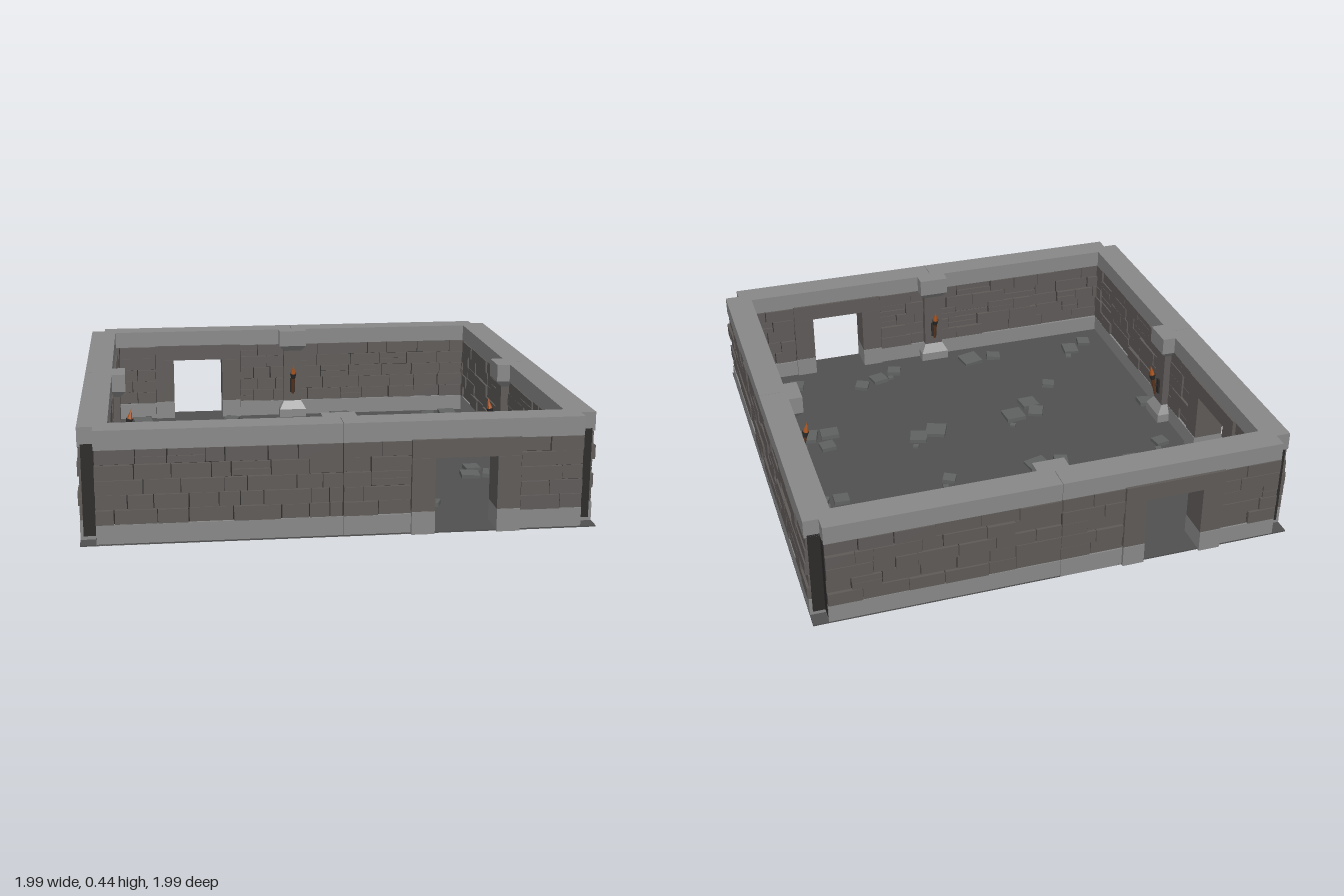
import * as THREE from 'three';
import { mergeGeometries } from 'three/addons/utils/BufferGeometryUtils.js';

const OUT = 0.985, IN = 0.872, END = 0.925;     // wall faces and wall end (corners stay notched)
const BASE = 0.08, TOP = 0.368, HEIGHT = 0.443; // plinth top, masonry top, coping top

const paint = (color) => new THREE.MeshStandardMaterial({ color, flatShading: true });
const trimMat = paint(0x888888), stoneMat = paint(0x5e5a58), jointMat = paint(0x2c2a29);
const floorMat = paint(0x505050), rubbleMat = paint(0x5f6261);
const ironMat = paint(0x2e2c2a), woodMat = paint(0x5a3520), flameMat = paint(0xa8521c);

let seed = 7;
const rand = (a, b) => {
  seed = (seed * 16807) % 2147483647;
  return a + (b - a) * (seed / 2147483647);
};

// Box given by its limits on each axis
function block(x0, x1, y0, y1, z0, z1) {
  return new THREE.BoxGeometry(x1 - x0, y1 - y0, z1 - z0)
    .translate((x0 + x1) / 2, (y0 + y1) / 2, (z0 + z1) / 2);
}

// Block whose top is narrowed in x and pulled outward (towards the wall) in z
function taper(hw0, hw1, y0, y1, front0, front1, back) {
  const g = block(-hw0, hw0, y0, y1, front0, back);
  const p = g.attributes.position;
  for (let i = 0; i < p.count; i++) {
    if (p.getY(i) < (y0 + y1) / 2) continue;
    p.setX(i, Math.sign(p.getX(i)) * hw1);
    if (p.getZ(i) < (front0 + back) / 2) p.setZ(i, front1);
  }
  g.computeVertexNormals();
  return g;
}

function add(group, name, geos, mat) {
  const mesh = new THREE.Mesh(Array.isArray(geos) ? mergeGeometries(geos) : geos, mat);
  mesh.name = name;
  group.add(mesh);
  return mesh;
}

// Courses of uneven stones between two x limits, on both faces of the wall
function masonry(x0, x1) {
  const stones = [], rows = 5, rowH = (TOP - BASE) / rows, gap = 0.003;
  for (const outer of [true, false]) {
    for (let r = 0; r < rows; r++) {
      let x = x0;
      while (x < x1 - 0.001) {
        let next = x + rand(0.07, 0.19);
        if (x1 - next < 0.05) next = x1;
        const y0 = BASE + r * rowH, push = rand(-0.006, 0.006);
        const z = outer ? [OUT - 0.04, OUT + push] : [IN + push, IN + 0.04];
        // some stones are split into two thin ones
        const cuts = rand(0, 1) < 0.15 ? [0, 0.5, 1] : [0, 1];
        for (let c = 0; c + 1 < cuts.length; c++) {
          stones.push(block(x + gap * rand(0.2, 1), next - gap * rand(0.2, 1),
            y0 + cuts[c] * rowH + gap * rand(0.1, 0.8), y0 + cuts[c + 1] * rowH - gap * rand(0.1, 0.8), ...z));
        }
        x = next;
      }
    }
  }
  return stones;
}

// Doorway: jambs, lintel and footings standing slightly proud of the wall
function doorway(cx) {
  const g = new THREE.Group();
  g.name = 'doorway';
  const a = IN - 0.01, b = 0.997, jambs = [], feet = [];
  for (const s of [-1, 1]) {
    const x = [cx + s * 0.12, cx + s * 0.21].sort((m, n) => m - n);
    jambs.push(block(x[0], x[1], 0.09, 0.298, a + 0.003, b - 0.003));
    feet.push(block(x[0], x[1], 0, 0.09, a, b));
  }
  add(g, 'doorJambs', jambs, stoneMat);
  add(g, 'doorFootings', feet, trimMat);
  add(g, 'doorLintel', block(cx - 0.21, cx + 0.21, 0.3, 0.372, a, b), stoneMat);
  return g;
}

// Pillar on the inner face with a flared base and head
function pillar() {
  const g = new THREE.Group();
  g.name = 'pillar';
  const back = IN + 0.02, face = 0.815, shaft = 0.84;
  add(g, 'pillarBase', [block(-0.066, 0.066, 0, 0.045, face, back),
    taper(0.066, 0.043, 0.045, 0.085, face, shaft, back)], trimMat);
  add(g, 'pillarShaft', block(-0.043, 0.043, 0.085, 0.345, shaft, back), stoneMat);
  add(g, 'pillarHead', [taper(0.043, 0.066, 0.34, TOP, shaft, face, back),
    block(-0.066, 0.066, TOP, HEIGHT, face, back)], trimMat);
  return g;
}

// Torch leaning out from an iron bracket
function torch() {
  const g = new THREE.Group();
  g.name = 'torch';
  add(g, 'torchBracket', [block(-0.012, 0.012, 0.13, 0.2, 0.832, 0.845),
    block(-0.005, 0.005, 0.165, 0.175, 0.81, 0.84)], ironMat);
  const lean = new THREE.Group();
  lean.name = 'torchHead';
  lean.position.set(0, 0.17, 0.815);
  lean.rotation.x = -0.2;
  add(lean, 'torchHandle', new THREE.CylinderGeometry(0.01, 0.006, 0.09, 8), woodMat);
  add(lean, 'torchCup', new THREE.CylinderGeometry(0.016, 0.01, 0.025, 8).translate(0, 0.05, 0), ironMat);
  add(lean, 'torchFlame', new THREE.ConeGeometry(0.013, 0.05, 6).translate(0, 0.085, 0), flameMat);
  g.add(lean);
  return g;
}

function wall(name, angle, door) {
  const g = new THREE.Group();
  g.name = name;
  const spans = door === null ? [[-END, 0], [0, END]]
    : door > 0 ? [[-END, 0], [0, door - 0.21], [door + 0.21, END]]
      : [[-END, door - 0.21], [door + 0.21, 0], [0, END]];
  const core = [], plinth = [], stones = [];
  for (const [a, b] of spans) {
    core.push(block(a, b, 0.02, TOP + 0.01, IN + 0.012, OUT - 0.012));
    plinth.push(block(a + 0.001, b - 0.001, 0, BASE, IN - 0.002, OUT));
    stones.push(...masonry(a, b));
  }
  add(g, 'wallCore', core, jointMat);
  add(g, 'wallPlinth', plinth, trimMat);
  add(g, 'wallStones', stones, stoneMat);
  add(g, 'wallCoping', [block(-END, -0.001, TOP, HEIGHT, IN, OUT),
    block(0.001, END, TOP, HEIGHT, IN, OUT)], trimMat);
  if (door !== null) g.add(doorway(door));
  g.add(pillar(), torch());
  g.rotation.y = angle;
  return g;
}

// Loose paving slabs: x, z, size
const SLABS = [
  [-0.75, -0.79, 0.09], [-0.31, -0.78, 0.065], [-0.24, -0.68, 0.08], [0.24, -0.79, 0.1],
  [0.68, -0.78, 0.06], [0.78, -0.79, 0.08], [-0.45, -0.56, 0.055], [0.54, -0.56, 0.055],
  [-0.58, -0.31, 0.06], [-0.76, -0.22, 0.06], [-0.28, -0.23, 0.06], [-0.17, -0.23, 0.09],
  [0.23, -0.22, 0.055], [0.71, -0.23, 0.065], [0.82, -0.31, 0.1], [0.81, -0.23, 0.08],
  [-0.83, 0.12, 0.065], [-0.31, 0.19, 0.065], [-0.2, 0.19, 0.09], [-0.3, 0.27, 0.08],
  [0.18, 0.17, 0.09], [0.27, 0.14, 0.075], [0.68, 0.19, 0.065], [0.65, 0.29, 0.08],
  [0.75, 0.29, 0.085], [-0.45, 0.41, 0.055], [-0.76, 0.75, 0.06], [-0.67, 0.7, 0.07],
  [-0.28, 0.75, 0.065], [-0.16, 0.75, 0.09], [0.23, 0.75, 0.06], [0.32, 0.7, 0.07],
  [0.41, 0.66, 0.06], [0.71, 0.75, 0.065], [0.82, 0.75, 0.09], [0.82, 0.65, 0.09],
];

export function createModel() {
  const room = new THREE.Group();
  room.name = 'stoneRoom';
  add(room, 'floor', block(-OUT, OUT, 0, 0.006, -OUT, OUT), floorMat);

  room.add(
    wall('frontWall', 0, 0.47),
    wall('backWall', Math.PI, 0.47),
    wall('rightWall', -Math.PI / 2, -0.47),
    wall('leftWall', Math.PI / 2, null),
  );

  // Slabs lie slightly tilted; every third one has a pebble beside it
  const slabs = [];
  const slab = (x, z, s, h) => slabs.push(new THREE.BoxGeometry(s, h, s * rand(0.85, 1.1))
    .rotateX(rand(-0.08, 0.08)).rotateZ(rand(-0.08, 0.08)).rotateY(rand(-0.5, 0.2))
    .translate(x, 0.006 + h * 0.4, z));
  SLABS.forEach(([x, z, s], i) => {
    slab(x, z, s, 0.018);
    if (i % 3 === 0) slab(x + 0.03, z - s * 0.9, 0.025, 0.012);
  });
  add(room, 'looseSlabs', slabs, rubbleMat);
  return room;
}
